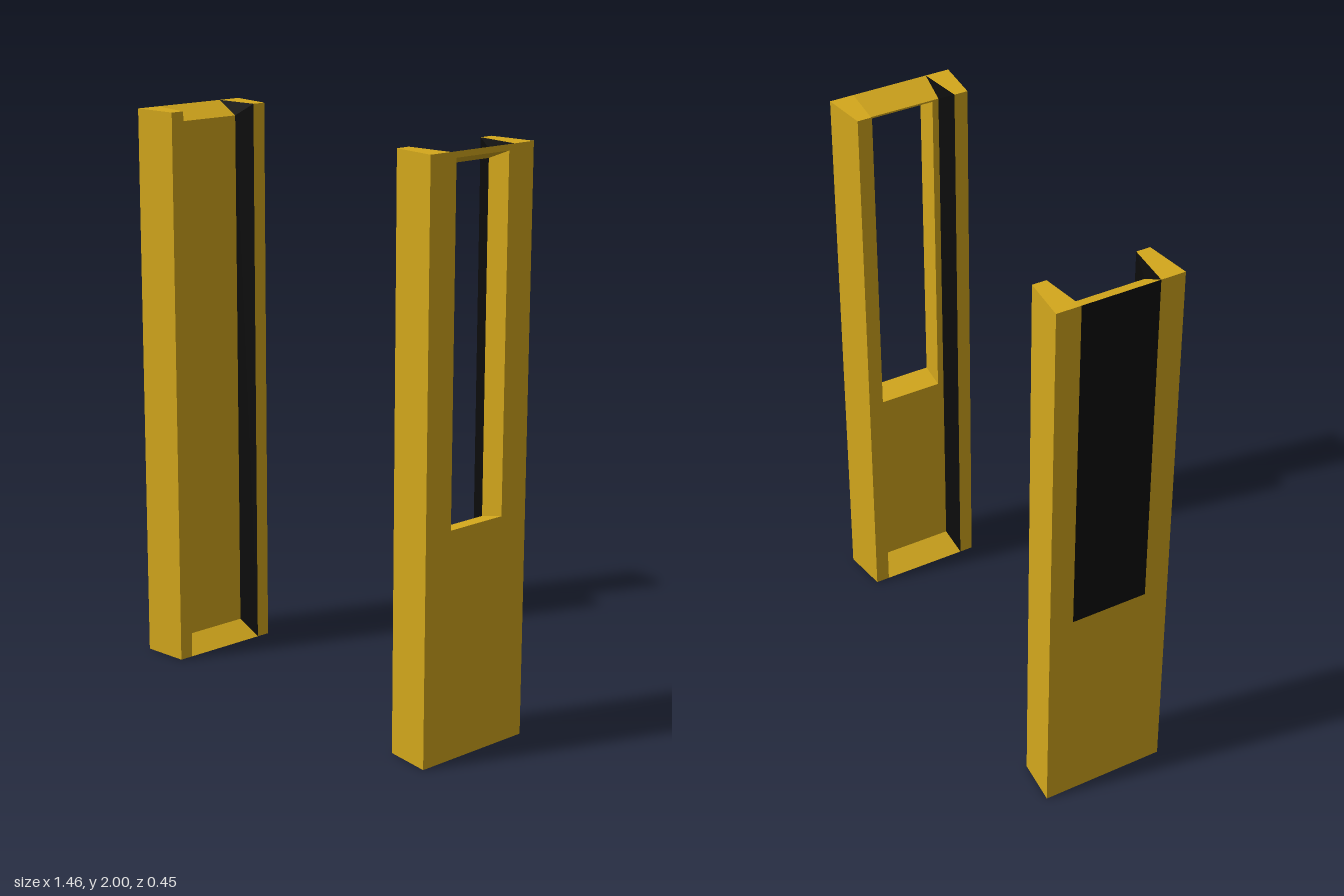
import * as THREE from 'three';

const gold = new THREE.MeshStandardMaterial({ color: 0xd4a81c });
const black = new THREE.MeshStandardMaterial({ color: 0x0c0c0c });

// post section: inner edge, channel wall and outer face in x; lip and channel depths in z
const XI = 0.563, XW = 0.642, XO = 0.73;
const ZI = 0.207, ZO = 0.225, CI = 0.157, CW = 0.138;
const H = 2, Y0 = 0.053, Y1 = 1.953;

// collects flat polygons, mirrored by sx and sz with the winding kept outward
class Faces {
  constructor(sx) { this.sx = sx; this.pos = []; }
  poly(points, sz = 1) {
    const v = points.map(([x, y, z]) => new THREE.Vector3(x * this.sx, y, z * sz));
    if (this.sx * sz < 0) v.reverse();
    for (let i = 1; i < v.length - 1; i++) {
      if (new THREE.Triangle(v[0], v[i], v[i + 1]).getArea() < 1e-7) continue;
      for (const p of [v[0], v[i], v[i + 1]]) this.pos.push(p.x, p.y, p.z);
    }
  }
  // band of quads through successive four-cornered loops
  bands(...loops) {
    for (let k = 0; k < loops.length - 1; k++) {
      const a = loops[k], b = loops[k + 1];
      for (let i = 0; i < 4; i++) {
        const j = (i + 1) % 4;
        this.poly([a[i], a[j], b[j], b[i]]);
      }
    }
  }
  mesh(name, material) {
    const g = new THREE.BufferGeometry();
    g.setAttribute('position', new THREE.Float32BufferAttribute(this.pos, 3));
    g.computeVertexNormals();
    const m = new THREE.Mesh(g, material);
    m.name = name;
    return m;
  }
}

// upright rectangle at x, counter-clockwise from outside
const rect = (x, y0, y1, z) => [[x, y0, z], [x, y0, -z], [x, y1, -z], [x, y1, z]];

function makePost(name, sx, hasWindow) {
  const post = new THREE.Group();
  post.name = name;
  const body = new Faces(sx), lining = new Faces(sx), panel = new Faces(sx);

  for (const sz of [1, -1]) {
    // lip: outside, top and inner edge
    body.poly([[XI, 0, ZI], [XO, 0, ZO], [XO, H, ZO], [XI, H, ZI]], sz);
    body.poly([[XI, H, ZI], [XO, H, ZO], [XO, H, CW], [XI, H, CI]], sz);
    body.poly([[XI, 0, CI], [XI, 0, ZI], [XI, H, ZI], [XI, H, CI]], sz);
    // dark channel side
    lining.poly([[XI, 0, CI], [XI, H, CI], [XW, Y1, CW], [XW, Y0, CW]], sz);
    lining.poly([[XI, H, CI], [XO, H, CW], [XW, Y1, CW]], sz);
  }

  // sloped wall top, sloped channel floor, underside
  body.poly([[XW, Y1, CW], [XO, H, CW], [XO, H, -CW], [XW, Y1, -CW]]);
  body.poly([[XI, 0, CI], [XW, Y0, CW], [XW, Y0, -CW], [XI, 0, -CI]]);
  body.poly([[XI, 0, ZI], [XI, 0, -ZI], [XO, 0, -ZO], [XO, 0, ZO]]);

  const outer = rect(XO, 0, H, ZO), wall = rect(XW, Y0, Y1, CW);
  if (hasWindow) {
    // outer face, window reveal and channel wall in one run
    body.bands(outer, rect(XO, 0.79, 1.98, 0.115), rect(XW, 0.77, 1.947, 0.115), wall);
  } else {
    // solid channel wall, outer face with a flush dark panel
    const plate = rect(XO, 0.77, H, CW);
    body.bands(outer, plate);
    body.poly(wall.slice().reverse());
    panel.poly(plate);
    post.add(panel.mesh('outerPanel', black));
  }

  post.add(body.mesh('postBody', gold), lining.mesh('channelSides', black));
  return post;
}

export function createModel() {
  const model = new THREE.Group();
  model.name = 'channelPosts';
  model.add(makePost('leftPost', 1, true), makePost('rightPost', -1, false));
  return model;
}
